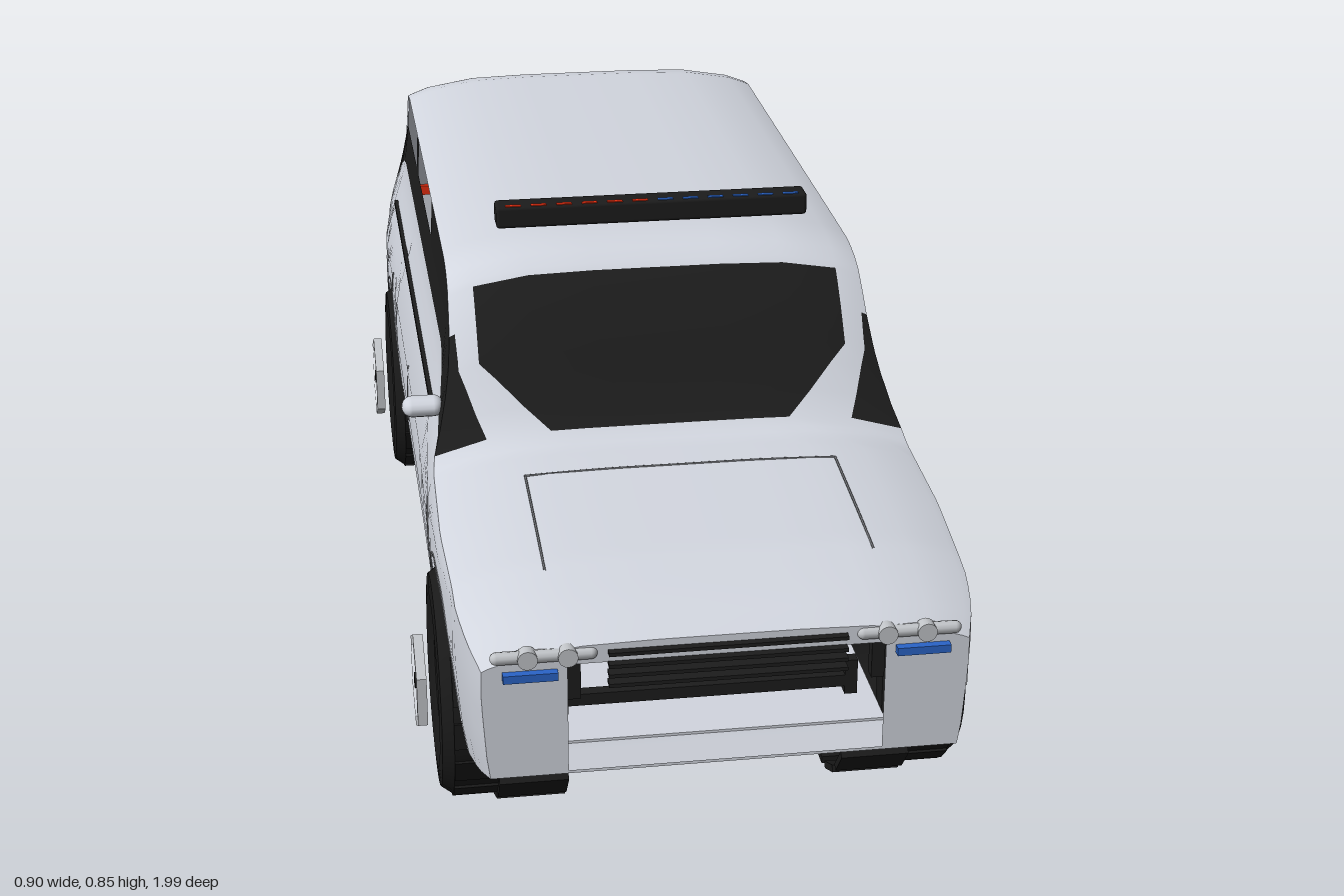
import * as THREE from 'three';
import { toCreasedNormals } from 'three/addons/utils/BufferGeometryUtils.js';
import { RoundedBoxGeometry } from 'three/addons/geometries/RoundedBoxGeometry.js';

const mat = (name, color, side = THREE.FrontSide) =>
  Object.assign(new THREE.MeshStandardMaterial({ color, side }), { name });

// Linear interpolation in a list of [position, value] pairs
function lerp(table, p) {
  if (p <= table[0][0]) return table[0][1];
  for (let i = 1; i < table.length; i++) {
    const [a, va] = table[i - 1], [b, vb] = table[i];
    if (p <= b) return va + (vb - va) * (p - a) / (b - a);
  }
  return table[table.length - 1][1];
}

// Body rules: centre-line height, plan taper, side bulge, belt line
const AXLES = [0.637, -0.62], ARCH = 0.19, WHEEL_Y = 0.203, DROP = 0.035;
const TOP = [[-0.985, 0.5], [-0.975, 0.52], [-0.95, 0.59], [-0.92, 0.667], [-0.9, 0.71], [-0.88, 0.74], [-0.85, 0.764],
  [-0.82, 0.777], [-0.77, 0.785], [0, 0.785], [0.166, 0.784], [0.21, 0.777], [0.246, 0.763], [0.29, 0.722], [0.327, 0.678],
  [0.36, 0.63], [0.397, 0.576], [0.43, 0.537], [0.46, 0.52], [0.8, 0.49], [0.9, 0.47], [0.95, 0.455], [0.98, 0.44]];
const PLAN = [[-0.985, 0.94], [-0.95, 0.97], [-0.88, 0.99], [-0.8, 1], [0.65, 1], [0.85, 0.97], [0.93, 0.94], [0.98, 0.9]];
const SIDE = [[0.18, 0.39], [0.25, 0.402], [0.36, 0.41], [0.44, 0.408], [0.5, 0.394], [0.55, 0.376], [0.6, 0.364], [0.65, 0.356], [0.75, 0.351]];
const BELT = [[-0.97, 0.5], [-0.9, 0.56], [-0.84, 0.595], [-0.78, 0.61], [0.2, 0.61], [0.26, 0.59], [0.35, 0.54], [0.43, 0.515]];
const GLASS_TOP = [[0.3, 0.98], [0.35, 0.95], [0.43, 0.78], [0.5, 0.97]];
const SCREEN_EDGE = [[-0.97, 0.29], [-0.9, 0.31], [0.35, 0.31], [0.43, 0.2], [0.5, 0.31]];

const sideX = (y, z) => lerp(SIDE, y) * lerp(PLAN, z);
const edgeY = z => lerp(TOP, z) - DROP;
const topY = (x, z) => edgeY(z) + DROP * (1 - Math.pow(Math.min(1, Math.abs(x) / sideX(edgeY(z), z)), 5));
const inArch = z => AXLES.some(a => Math.abs(z - a) < ARCH - 1e-4);
function bottomY(z) {
  for (const a of AXLES) if (Math.abs(z - a) < ARCH - 1e-4) return WHEEL_Y + Math.sqrt(ARCH * ARCH - (z - a) ** 2);
  return lerp([[-0.985, 0.22], [-0.83, 0.19], [-0.8, 0.18], [0.82, 0.18], [0.85, 0.19], [0.98, 0.222]], z);
}

// Half cross-section from the sill to the roof centre
function halfRing(z) {
  const y0 = bottomY(z), e = edgeY(z), b = z > 0.43 ? e : Math.min(lerp(BELT, z), e);
  const pts = [0, 0.2, 0.4, 0.6, 0.8, 0.92, 1].map(t => y0 + (b - y0) * t)
    .concat(Math.min(b + 0.075, e), e).map(y => [sideX(y, z), y]);
  const w = lerp(SCREEN_EDGE, z);
  for (const x of [sideX(e, z) * lerp(GLASS_TOP, z), w, w * 0.7, w * 0.35, 0]) pts.push([x, topY(x, z)]);
  return pts;
}
const fullRing = z => {
  const h = halfRing(z);
  return h.concat(h.slice(0, -1).reverse().map(([x, y]) => [-x, y]));
};

// 0 paint, 1 dark glass, -1 open window
function cellKind(h, z) {
  const between = (a, b) => z > a && z < b;
  if (h === 6) return between(-0.97, 0.43) ? 1 : 0;
  if (h === 7) {
    if (between(-0.475, -0.13) || between(-0.77, -0.525)) return -1;
    return between(-0.53, 0.43) ? 1 : 0;
  }
  if (h === 8) return between(0.31, 0.43) ? 1 : 0;
  if (h >= 10) return between(0.26, 0.43) || between(-0.935, -0.83) ? 1 : 0;
  return 0;
}

function bodyGeometry() {
  const zs = [0.43, 0.35, 0.31, 0.26, -0.13, -0.475, -0.525, -0.77, -0.83, -0.935, -0.97, 0.98, -0.985];
  for (const a of AXLES) for (let k = 0; k <= 20; k++) zs.push(a + ARCH * Math.cos(Math.PI * k / 20));
  const keys = zs.slice();
  for (let z = -0.95; z < 0.98; z += 0.03) if (!keys.some(k => Math.abs(k - z) < 0.008)) zs.push(z);
  zs.sort((a, b) => b - a);
  const lists = [[], []];
  const quad = (l, a, b, c, d) => l.push(...a, ...b, ...c, ...a, ...c, ...d);
  for (let s = 0; s < zs.length - 1; s++) {
    const z0 = zs[s], z1 = zs[s + 1], mid = (z0 + z1) / 2, A = fullRing(z0), B = fullRing(z1), n = A.length - 1;
    for (let i = 0; i < n; i++) {
      const kind = cellKind(Math.min(i, n - 1 - i), mid);
      if (kind >= 0) quad(lists[kind], [...A[i], z0], [...B[i], z1], [...B[i + 1], z1], [...A[i + 1], z0]);
    }
    if (!inArch(mid)) quad(lists[0], [...A[n], z0], [...B[n], z1], [...B[0], z1], [...A[0], z0]);
  }
  const g = new THREE.BufferGeometry();
  g.setAttribute('position', new THREE.Float32BufferAttribute(lists[0].concat(lists[1]), 3));
  g.addGroup(0, lists[0].length / 3, 0);
  g.addGroup(lists[0].length / 3, lists[1].length / 3, 1);
  return toCreasedNormals(g, 0.9);
}

export function createModel() {
  const paint = mat('silver paint', 0xd2d6df, THREE.DoubleSide), black = mat('black trim', 0x1c1c1c, THREE.DoubleSide);
  const rubber = mat('tyre rubber', 0x191919), metal = mat('bright metal', 0xc2c5c9);
  const red = mat('red', 0xf83212), blue = mat('blue', 0x2a64c8), seamGrey = mat('seam grey', 0x707276);
  const car = new THREE.Group();
  car.name = 'car';
  const add = (name, geo, m, x = 0, y = 0, z = 0, parent = car) => {
    const mesh = new THREE.Mesh(geo, m);
    mesh.name = name;
    mesh.position.set(x, y, z);
    parent.add(mesh);
    return mesh;
  };
  const box = (name, m, w, h, d, x, y, z, parent) => add(name, new THREE.BoxGeometry(w, h, d), m, x, y, z, parent);

  // Shell and end panels
  add('body', bodyGeometry(), [paint, black]);
  const endShape = z => new THREE.Shape(fullRing(z).map(([x, y]) => new THREE.Vector2(x, y)));
  const front = endShape(0.98);
  front.holes.push(new THREE.Path([[-0.24, 0.227], [-0.24, 0.408], [0.24, 0.408], [0.24, 0.227]].map(p => new THREE.Vector2(...p))));
  add('frontPanel', new THREE.ShapeGeometry(front), paint, 0, 0, 0.98);
  add('rearPanel', new THREE.ShapeGeometry(endShape(-0.985)), paint, 0, 0, -0.985).rotation.y = Math.PI;

  // Underside
  box('floor', blue, 0.56, 0.006, 1, 0, 0.174, 0);
  for (const a of AXLES) box('axlePlate', paint, 0.56, 0.006, 0.4, 0, 0.187, a);

  // Grille and the frame deep inside the intake
  for (const y of [0.374, 0.39, 0.406]) box('grilleBar', black, 0.36, 0.006, 0.02, 0, y, 0.983);
  box('grilleBar', black, 0.36, 0.006, 0.012, 0, 0.426, 0.987);
  box('intakeBar', black, 0.48, 0.02, 0.02, 0, 0.246, 0.8);
  for (const s of [-1, 1]) {
    box('intakePost', black, 0.02, 0.06, 0.02, s * 0.23, 0.376, 0.965);
    box('intakePost', black, 0.02, 0.06, 0.02, s * 0.23, 0.252, 0.8);
    // Headlights
    add('headlight', new THREE.CapsuleGeometry(0.01, 0.14, 4, 10), metal, s * 0.275, 0.425, 0.978).rotation.z = Math.PI / 2;
    for (const x of [0.24, 0.3])
      add('lamp', new THREE.CylinderGeometry(0.015, 0.015, 0.02, 16), metal, s * x, 0.425, 0.982).rotation.x = Math.PI / 2;
    box('runningLight', blue, 0.082, 0.013, 0.016, s * 0.296, 0.396, 0.985);
    // Tail lights and exhausts
    box('tailLight', red, 0.18, 0.02, 0.02, s * 0.265, 0.482, -0.98);
    add('exhaust', new THREE.CylinderGeometry(0.016, 0.016, 0.04, 14), metal, s * 0.06, 0.235, -0.98).rotation.x = Math.PI / 2;
  }

  // Seat cushions
  add('seat', new RoundedBoxGeometry(0.175, 0.13, 0.2, 3, 0.025), black, -0.152, 0.35, 0.05);
  add('seat', new RoundedBoxGeometry(0.175, 0.058, 0.2, 3, 0.02), black, 0.152, 0.313, 0.05);

  // Roof light bar with small beacons along the upper edges
  add('lightBar', new RoundedBoxGeometry(0.53, 0.038, 0.045, 2, 0.006), black, 0, 0.837, 0.203);
  for (let i = 0; i < 12; i++)
    box('beacon', i < 6 ? red : blue, 0.026, 0.005, 0.008, -0.236 + i * 0.043, 0.8545, 0.218);
  box('rearBeacon', red, 0.25, 0.014, 0.004, -0.125, 0.846, 0.18);

  // Door mirror, handle and side strip
  const mirror = add('mirror', new THREE.CapsuleGeometry(0.017, 0.036, 5, 14), paint, -0.405, 0.552, 0.335);
  mirror.rotation.z = Math.PI / 2;
  mirror.scale.z = 1.4;
  box('doorHandle', black, 0.014, 0.012, 0.07, 0.408, 0.467, -0.02);
  box('sideStrip', black, 0.009, 0.012, 1.06, -0.385, 0.527, -0.24);

  // Panel seams and wheel arch lips
  const seam = pts => add('seam', new THREE.TubeGeometry(
    new THREE.CatmullRomCurve3(pts.map(p => new THREE.Vector3(...p))), 16, 0.002, 5), seamGrey);
  const hoodPoint = (x, z) => [x, topY(x, z), z];
  seam([-0.255, -0.13, 0, 0.13, 0.255].map(x => hoodPoint(x, 0.54)));
  for (const s of [-1, 1]) {
    seam([0.54, 0.62, 0.72, 0.82].map(z => hoodPoint(s * 0.255, z)));
    for (const [z, a, b] of [[0.45, 0.34, 0.44], [-0.085, 0.34, 0.45], [-0.57, 0.41, 0.45]])
      seam([a, (a + b) / 2, b].map(y => [s * sideX(y, z), y, z]));
    for (const a of AXLES) seam(Array.from({ length: 9 }, (_, i) => {
      const t = 0.3 + i * (Math.PI - 0.6) / 8, y = WHEEL_Y + 0.204 * Math.sin(t), z = a + 0.204 * Math.cos(t);
      return [s * sideX(y, z), y, z];
    }));
  }

  // Wheels, built along +y and laid on their sides
  const tyreProfile = [[0.11, -0.06], [0.14, -0.07], [0.172, -0.068], [0.185, -0.05], [0.185, 0.05], [0.172, 0.068],
    [0.14, 0.07], [0.11, 0.06], [0.11, -0.06]].map(p => new THREE.Vector2(...p));
  const tyreGeo = toCreasedNormals(new THREE.LatheGeometry(tyreProfile, 32), 0.5);
  const hexPath = (C, r) => new C(Array.from({ length: 6 }, (_, i) =>
    new THREE.Vector2(r * Math.sin(i * Math.PI / 3), r * Math.cos(i * Math.PI / 3))));
  const hexShape = hexPath(THREE.Shape, 0.084);
  hexShape.holes.push(hexPath(THREE.Path, 0.066));
  const hexGeo = new THREE.ExtrudeGeometry(hexShape, { depth: 0.016, bevelEnabled: false });
  for (const s of [-1, 1]) for (const a of AXLES) {
    const wheel = new THREE.Group();
    wheel.name = 'wheel';
    wheel.position.set(0, WHEEL_Y, a);
    car.add(wheel);
    add('tyre', tyreGeo, rubber, s * 0.35, 0, 0, wheel).rotation.z = Math.PI / 2;
    add('rimDisc', new THREE.CylinderGeometry(0.1, 0.1, 0.02, 28), metal, s * 0.39, 0, 0, wheel).rotation.z = Math.PI / 2;
    add('rimHexagon', hexGeo, metal, s * 0.442 - 0.008, 0, 0, wheel).rotation.y = Math.PI / 2;
    for (let i = 0; i < 3; i++) box('spoke', metal, 0.012, 0.14, 0.012, s * 0.44, 0, 0, wheel).rotation.x = i * Math.PI / 3;
    add('hubCap', new THREE.CylinderGeometry(0.013, 0.013, 0.016, 12), black, s * 0.442, 0, 0, wheel).rotation.z = Math.PI / 2;
    if (s > 0) box('brakeCaliper', red, 0.02, 0.068, 0.04, 0.405, 0.052, -0.026, wheel);
    // Inboard tread plates round the lower half
    for (let i = -3; i <= 3; i++) {
      const t = i * 0.44;
      box('tread', rubber, 0.11, 0.012, 0.062, s * 0.275, -0.19 * Math.cos(t), -0.19 * Math.sin(t), wheel).rotation.x = t;
    }
    // Raised tread blocks on the tyre
    for (let i = 0; i < 16; i++) {
      const t = i * Math.PI / 8;
      box('treadBlock', rubber, 0.1, 0.006, 0.045, s * 0.35, -0.184 * Math.cos(t), -0.184 * Math.sin(t), wheel).rotation.x = t;
    }
  }
  return car;
}
